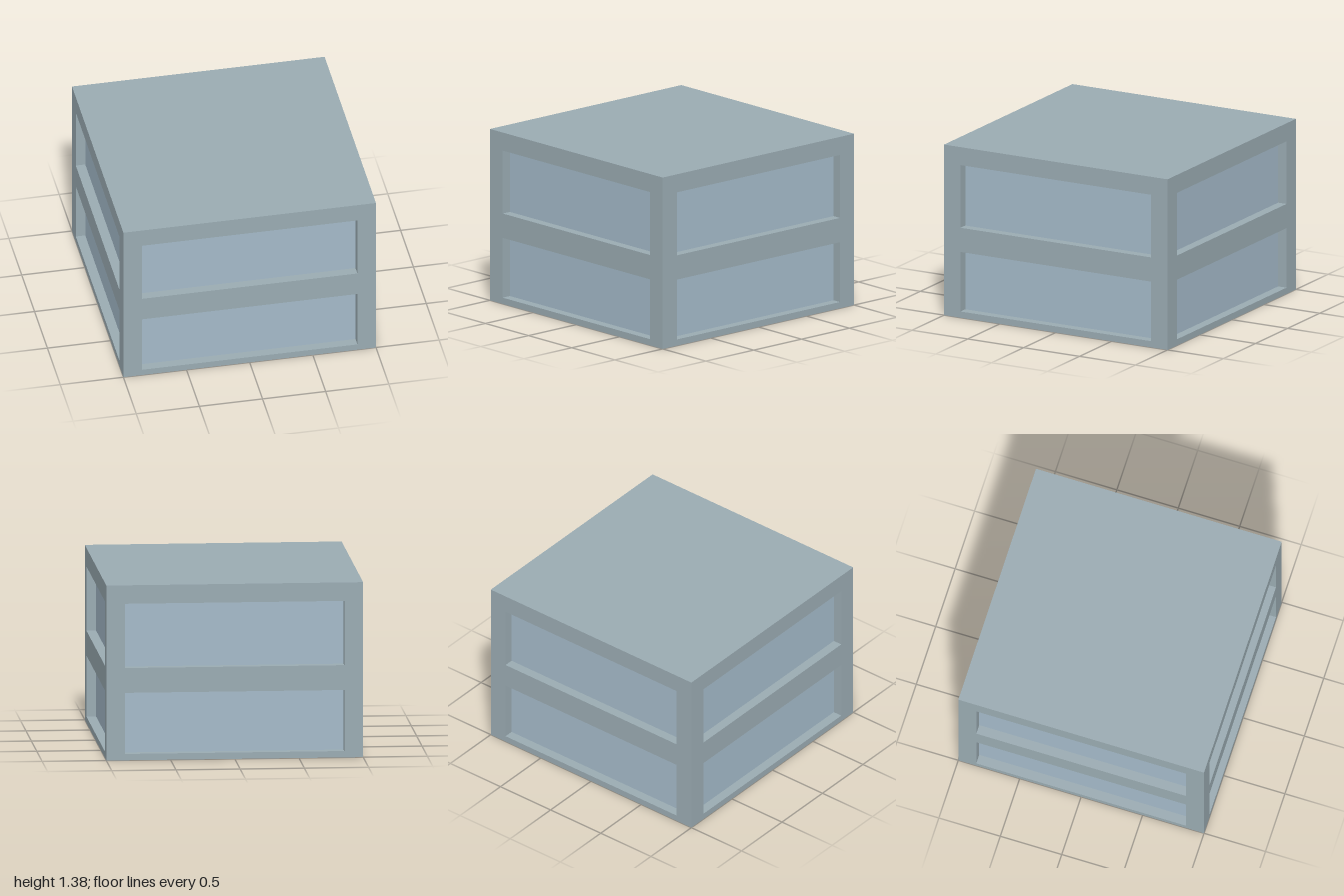
import * as THREE from 'three';

const HEIGHT = 1.375, DEPTH = 0.075, PANE = 0.02, HALF_OPENING = 0.853;
const STOREYS = [[0.05, 0.53], [0.725, 1.23]]; // bottom and top of each window band

const frameMaterial = new THREE.MeshStandardMaterial({ color: 0x9aabb2 });
const glassMaterial = new THREE.MeshStandardMaterial({ color: 0xa4bac9 });

function rectangle(Type, halfWidth, bottom, top) {
  return new Type([
    new THREE.Vector2(-halfWidth, bottom), new THREE.Vector2(halfWidth, bottom),
    new THREE.Vector2(halfWidth, top), new THREE.Vector2(-halfWidth, top),
  ]);
}

function addBox(parent, name, material, size, position) {
  const mesh = new THREE.Mesh(new THREE.BoxGeometry(...size), material);
  mesh.name = name;
  mesh.position.set(...position);
  parent.add(mesh);
}

// One facade facing +z: a wall with two openings and recessed panes behind them
function createFacade(name, halfWidth) {
  const facade = new THREE.Group();
  facade.name = name;
  const shape = rectangle(THREE.Shape, halfWidth, 0, HEIGHT);
  for (const [bottom, top] of STOREYS) {
    shape.holes.push(rectangle(THREE.Path, HALF_OPENING, bottom, top));
    addBox(facade, 'windowPane', glassMaterial,
      [2 * HALF_OPENING, top - bottom, PANE],
      [0, (bottom + top) / 2, 1 - DEPTH - PANE / 2]);
  }
  const wall = new THREE.Mesh(
    new THREE.ExtrudeGeometry(shape, { depth: DEPTH, bevelEnabled: false }), frameMaterial);
  wall.name = 'wall';
  wall.position.z = 1 - DEPTH;
  facade.add(wall);
  return facade;
}

export function createModel() {
  const model = new THREE.Group();
  model.name = 'buildingBlock';

  // Side walls fit between the full-width front and back walls
  ['frontFacade', 'leftFacade', 'backFacade', 'rightFacade'].forEach((name, i) => {
    const facade = createFacade(name, i % 2 ? 1 - DEPTH : 1);
    facade.rotation.y = i * Math.PI / 2;
    model.add(facade);
  });

  // Roof and floor slabs, flush with the wall edges
  const span = 2 * (1 - DEPTH), slab = 0.04;
  addBox(model, 'roof', frameMaterial, [span, slab, span], [0, HEIGHT - slab / 2, 0]);
  addBox(model, 'floor', frameMaterial, [span, slab, span], [0, slab / 2, 0]);
  return model;
}
